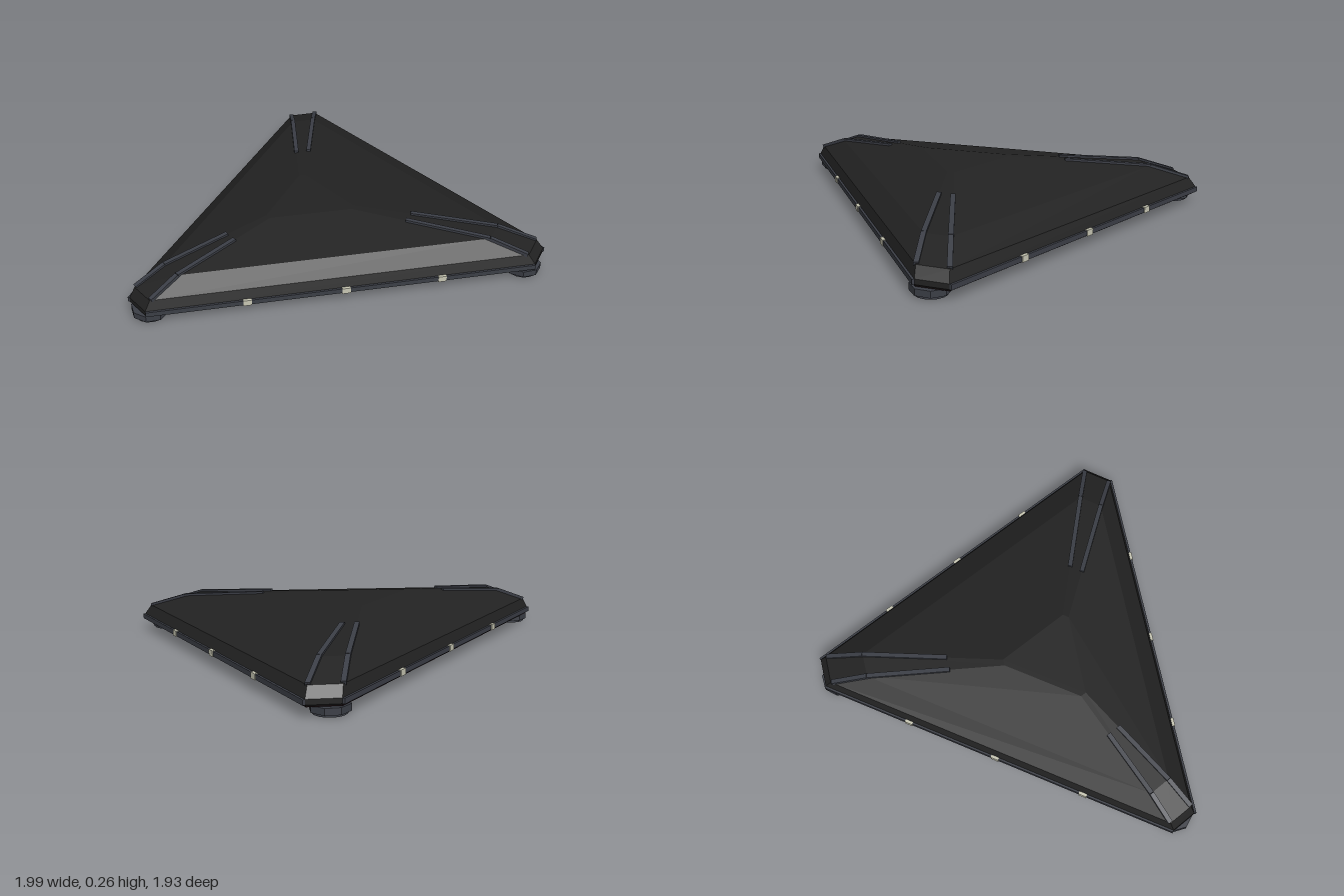
import * as THREE from 'three';

const mat = (name, color, flatShading = true) => {
  const m = new THREE.MeshStandardMaterial({ color, flatShading });
  m.name = name;
  return m;
};

// Plan outline: a triangle with clipped corners, counter-clockwise from above
const OUTLINE = [[0.07, 0.94], [0.985, -0.81], [0.92, -0.95], [-0.92, -0.95], [-0.985, -0.81], [-0.07, 0.94]];
const CENTRE_Z = -0.085;

// Point on corner ridge i, with the outline scaled by s, at height y
const ridge = (i, s, y) => {
  const [x, z] = OUTLINE[i % 6];
  return new THREE.Vector3(x * s, y, CENTRE_Z + (z - CENTRE_Z) * s);
};

// Faceted solid through scaled outlines, given as [scale, height] from the bottom up
function loft(levels) {
  const pos = [];
  const tri = (...pts) => pts.forEach((p) => pos.push(p.x, p.y, p.z));
  const rings = levels.map(([s, y]) => OUTLINE.map((_, i) => ridge(i, s, y)));
  for (let k = 0; k < rings.length - 1; k++) {
    for (let i = 0; i < 6; i++) {
      const j = (i + 1) % 6;
      tri(rings[k][i], rings[k][j], rings[k + 1][j]);
      tri(rings[k][i], rings[k + 1][j], rings[k + 1][i]);
    }
  }
  const low = rings[0], top = rings[rings.length - 1];
  for (let i = 1; i < 5; i++) {
    tri(top[0], top[i], top[i + 1]);
    tri(low[0], low[i + 1], low[i]);
  }
  const g = new THREE.BufferGeometry();
  g.setAttribute('position', new THREE.Float32BufferAttribute(pos, 3));
  g.computeVertexNormals();
  return g;
}

export function createModel() {
  const model = new THREE.Group();
  model.name = 'triangularCraft';
  const hullMat = mat('hull black', 0x222222);
  const trimMat = mat('trim grey', 0x3b3e46);
  const seamMat = mat('seam dark red', 0x1e1014);
  const clipMat = mat('marker ivory', 0xc8c7b4);
  const glassMat = mat('port teal', 0x4a9e98);

  const add = (name, geometry, material, x = 0, y = 0, z = 0) => {
    const m = new THREE.Mesh(geometry, material);
    m.name = name;
    m.position.set(x, y, z);
    model.add(m);
    return m;
  };
  // Box running from a to b
  const beam = (name, a, b, w, h, material) => {
    const m = add(name, new THREE.BoxGeometry(w, h, a.distanceTo(b)), material);
    m.position.copy(a).lerp(b, 0.5);
    m.lookAt(b);
    return m;
  };

  // Hull and the thin seam beneath its edge
  add('hull', loft([[0.985, 0.045], [1, 0.06], [1, 0.085], [0.97, 0.135], [0.805, 0.2], [0.217, 0.26]]), hullMat);
  add('lowerSeam', loft([[0.99, 0.047], [0.993, 0.053]]), seamMat);

  // Raised ribs along the six corner ridges
  for (let i = 0; i < 6; i++) {
    const a = ridge(i, 0.965, 0.135), b = ridge(i, 0.805, 0.2), c = ridge(i, 0.45, 0.236);
    beam('cornerRibLower', a, b, 0.024, 0.02, trimMat);
    beam('cornerRibUpper', b, c, 0.024, 0.02, trimMat);
  }

  // Edge rails with three markers on each long side
  for (const i of [0, 2, 4]) {
    const a = ridge(i, 1, 0.072), b = ridge(i + 1, 1, 0.072);
    beam('edgeRail', a, b, 0.022, 0.025, trimMat);
    for (const t of [0.25, 0.5, 0.75]) {
      const p = a.clone().lerp(b, t);
      const d = b.clone().sub(a).normalize().multiplyScalar(0.021);
      beam('edgeMarker', p.clone().sub(d), p.clone().add(d), 0.03, 0.03, clipMat);
    }
  }

  // Octagonal pads under the corners, each with a round lamp
  for (const [x, z] of [[0, 0.872], [0.9, -0.82], [-0.9, -0.82]]) {
    add('padHousing', new THREE.CylinderGeometry(0.093, 0.093, 0.032, 8), trimMat, x, 0.031, z);
    add('padCollar', new THREE.CylinderGeometry(0.078, 0.078, 0.013, 16), trimMat, x, 0.0095, z);
    add('padLamp', new THREE.CylinderGeometry(0.066, 0.066, 0.006, 16), clipMat, x, 0.003, z);
  }

  // Hexagonal belly port, points to the sides
  const port = (name, r, y, h, material) => {
    add(name, new THREE.CylinderGeometry(r, r, h, 6), material, 0, y, -0.28).rotation.y = Math.PI / 6;
  };
  port('portFrame', 0.23, 0.029, 0.034, trimMat);
  port('portGlass', 0.18, 0.011, 0.008, glassMat);
  return model;
}
